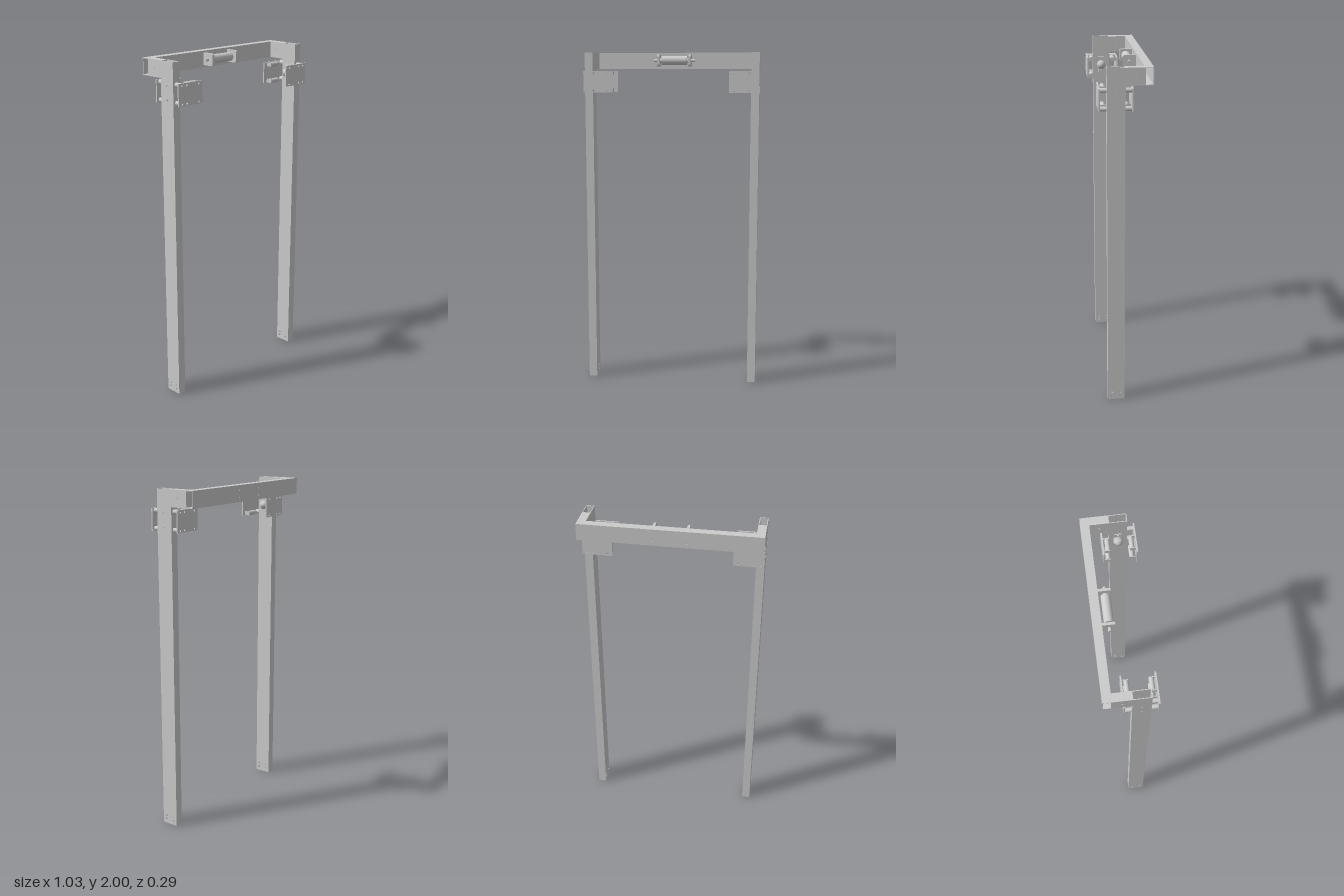
import * as THREE from 'three';

const mat = new THREE.MeshStandardMaterial({ color: 0xcccccc });
const WALL = 0.004;

function add(parent, name, geo, x = 0, y = 0, z = 0) {
  const m = new THREE.Mesh(geo, mat);
  m.name = name;
  m.position.set(x, y, z);
  parent.add(m);
  return m;
}

// Flat sheet in XY, centred on the origin, pierced by round holes [x, y, r]
function sheet(w, h, t, holes = []) {
  const s = new THREE.Shape();
  s.moveTo(-w / 2, -h / 2).lineTo(w / 2, -h / 2).lineTo(w / 2, h / 2).lineTo(-w / 2, h / 2).closePath();
  for (const [x, y, r] of holes) {
    s.holes.push(new THREE.Path().absarc(x, y, r, 0, Math.PI * 2, true));
  }
  return new THREE.ExtrudeGeometry(s, { depth: t, bevelEnabled: false, curveSegments: 8 }).translate(0, 0, -t / 2);
}

// Open rectangular tube along y: broad walls (h, with holes) face x, narrow walls (w) face z
function tube(name, w, h, len, holes = []) {
  const g = new THREE.Group();
  g.name = name;
  for (const s of [-1, 1]) {
    const broad = add(g, 'broadWall', sheet(h, len, WALL, holes), s * (w - WALL) / 2, 0, 0);
    broad.rotation.y = Math.PI / 2;
    add(g, 'narrowWall', sheet(w - 2 * WALL, len, WALL), 0, 0, s * (h - WALL) / 2);
  }
  return g;
}

// Cylinder lying along x
const rod = (r, len, seg = 24) => new THREE.CylinderGeometry(r, r, len, seg).rotateZ(Math.PI / 2);

// Bar roller held by two tabs; dir is the z direction from its plate towards the middle
function guideRoller(dir) {
  const g = new THREE.Group();
  g.name = 'guideRoller';
  add(g, 'rollerBar', rod(0.0135, 0.068), 0, 0, dir * 0.0215);
  for (const s of [-1, 1]) {
    add(g, 'rollerTab', new THREE.BoxGeometry(0.004, 0.022, 0.034), s * 0.036, 0, dir * 0.017);
  }
  return g;
}

// One side of the frame, for +x (side = 1) or -x (side = -1)
function buildSide(side) {
  const g = new THREE.Group();
  g.name = side > 0 ? 'leftSide' : 'rightSide';
  const px = side * 0.493, pz = 0.052;

  // Upright post with foot holes and bolt holes for the side guide
  const holes = [[0, 0.867, 0.005], [0, 0.788, 0.005]];
  for (const a of [-0.026, 0.026]) for (const y of [0.026, 0.049]) holes.push([a, y - 1, 0.006]);
  const post = tube('post', 0.048, 0.1, 2, holes);
  post.position.set(px, 1, pz);
  g.add(post);

  // Short arm joining the post to the rear beam
  const arm = tube('topArm', 0.048, 0.096, 0.102, [[0, 0, 0.005]]);
  arm.rotation.x = Math.PI / 2;
  arm.position.set(px, 1.952, -0.049);
  g.add(arm);

  // Front and back mounting plates, with spacers to the post and a pair of rollers each
  const plateHoles = [];
  for (const x of [0.493, 0.457, 0.372]) {
    for (const y of [0.05, -0.05]) plateHoles.push([side * (x - 0.43), y, 0.006]);
  }
  for (const dir of [1, -1]) {
    const mount = new THREE.Group();
    mount.name = dir > 0 ? 'frontMount' : 'backMount';
    mount.position.set(0, 1.827, pz + dir * 0.09);
    add(mount, 'mountingPlate', sheet(0.174, 0.125, 0.008, plateHoles), side * 0.43);
    for (const y of [-0.05, 0.05]) {
      const spacer = add(mount, 'spacer', new THREE.CylinderGeometry(0.013, 0.013, 0.036, 16), px, y, -dir * 0.022);
      spacer.rotation.x = Math.PI / 2;
      const roller = guideRoller(-dir);
      roller.position.set(side * 0.405, y, -dir * 0.004);
      mount.add(roller);
    }
    g.add(mount);
  }

  // Domed side guide on the inner face of the post
  const guide = new THREE.Group();
  guide.name = 'sideGuide';
  add(guide, 'guideFlange', new THREE.BoxGeometry(0.005, 0.1, 0.036), 0.0025);
  const profile = [[0, 0], [0.026, 0], [0.026, 0.026], [0.021, 0.03], [0.018, 0.034], [0.012, 0.038], [0.006, 0.041], [0, 0.042]];
  const dome = add(guide, 'guideDome', new THREE.LatheGeometry(profile.map(p => new THREE.Vector2(...p)), 28));
  dome.rotation.z = -Math.PI / 2;
  for (const y of [-0.04, 0.04]) add(guide, 'guideBolt', rod(0.007, 0.006, 6), 0.008, y);
  guide.position.set(side * 0.469, 1.827, pz);
  if (side > 0) guide.rotation.y = Math.PI;
  g.add(guide);
  return g;
}

// Central roller on two round-nosed brackets
function buildCentreRoller() {
  const g = new THREE.Group();
  g.name = 'centreRoller';
  add(g, 'rollerDrum', rod(0.026, 0.154, 32));
  add(g, 'rollerHub', rod(0.013, 0.176));
  add(g, 'rollerShaft', rod(0.009, 0.25));
  const s = new THREE.Shape();
  s.moveTo(-0.038, -0.036).lineTo(0.022, -0.036).quadraticCurveTo(0.037, -0.036, 0.037, -0.021);
  s.lineTo(0.037, 0.021).quadraticCurveTo(0.037, 0.036, 0.022, 0.036).lineTo(-0.038, 0.036).closePath();
  const ear = new THREE.ExtrudeGeometry(s, { depth: 0.015, bevelEnabled: false, curveSegments: 8 })
    .translate(0, 0, -0.0075).rotateY(-Math.PI / 2);
  for (const x of [-0.095, 0.095]) add(g, 'rollerBracket', ear, x);
  g.position.set(0, 1.953, -0.062);
  return g;
}

export function createModel() {
  const model = new THREE.Group();
  model.name = 'gateFrame';

  // Rear beam, a hollow tube open at both ends, with bolt holes behind the roller brackets
  const holes = [];
  for (const x of [-0.095, 0.095]) for (const y of [-0.02, 0.02]) holes.push([y, x, 0.005]);
  const beam = tube('rearBeam', 0.048, 0.096, 1.034, holes);
  beam.rotation.set(Math.PI / 2, 0, Math.PI / 2, 'XYZ');
  beam.position.set(0, 1.952, -0.124);
  model.add(beam);

  for (const side of [-1, 1]) model.add(buildSide(side));
  model.add(buildCentreRoller());
  return model;
}
